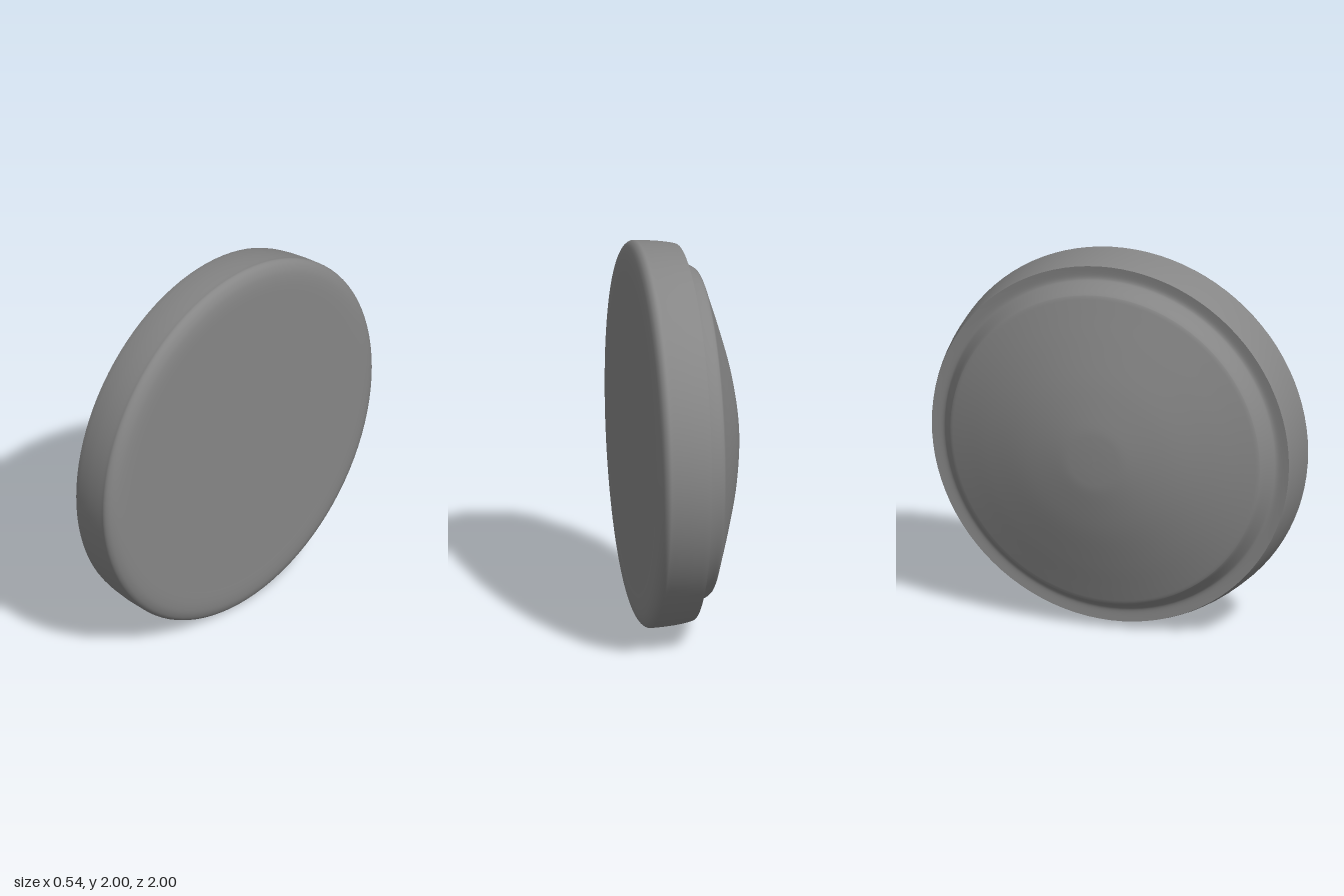
import * as THREE from 'three';

// Smooth curve through [radius, axial] points
function smooth(points, n) {
  return new THREE.SplineCurve(points.map(([r, x]) => new THREE.Vector2(r, x))).getPoints(n)
    .map((p) => new THREE.Vector2(Math.max(0, p.x), p.y));
}

export function createModel() {
  const group = new THREE.Group();
  group.name = 'domedDisc';
  const material = new THREE.MeshStandardMaterial({ color: 0x868686 });

  // Each section is turned around the x axis; separate sections keep the rim crease sharp
  function turned(name, profile) {
    const geometry = new THREE.LatheGeometry(profile, 96);
    geometry.rotateZ(-Math.PI / 2);
    const mesh = new THREE.Mesh(geometry, material);
    mesh.name = name;
    mesh.position.y = 1;
    group.add(mesh);
  }

  // Shallow dome, rounding over into the sloped collar, which blends into the step behind the cap
  const dome = smooth([[0, -0.272], [0.1, -0.27], [0.2, -0.261], [0.4, -0.222],
    [0.6, -0.166], [0.75, -0.119], [0.832, -0.093]], 32);
  const collar = smooth([[0.842, -0.088], [0.853, -0.074], [0.872, -0.04], [0.893, -0.008],
    [0.907, 0.002], [0.93, 0.004], [0.972, 0]], 20);
  turned('domeAndCollar', [...dome, ...collar]);

  // Slightly flared cap wall, rounded front edge and flat face
  const wall = smooth([[0.972, 0], [0.98, 0.03], [0.99, 0.09], [0.996, 0.15], [0.999, 0.2],
    [1, 0.22], [0.992, 0.236], [0.975, 0.25], [0.945, 0.262], [0.905, 0.268],
    [0.86, 0.27], [0.82, 0.27]], 48);
  turned('cap', [...wall, new THREE.Vector2(0, 0.27)]);

  return group;
}
